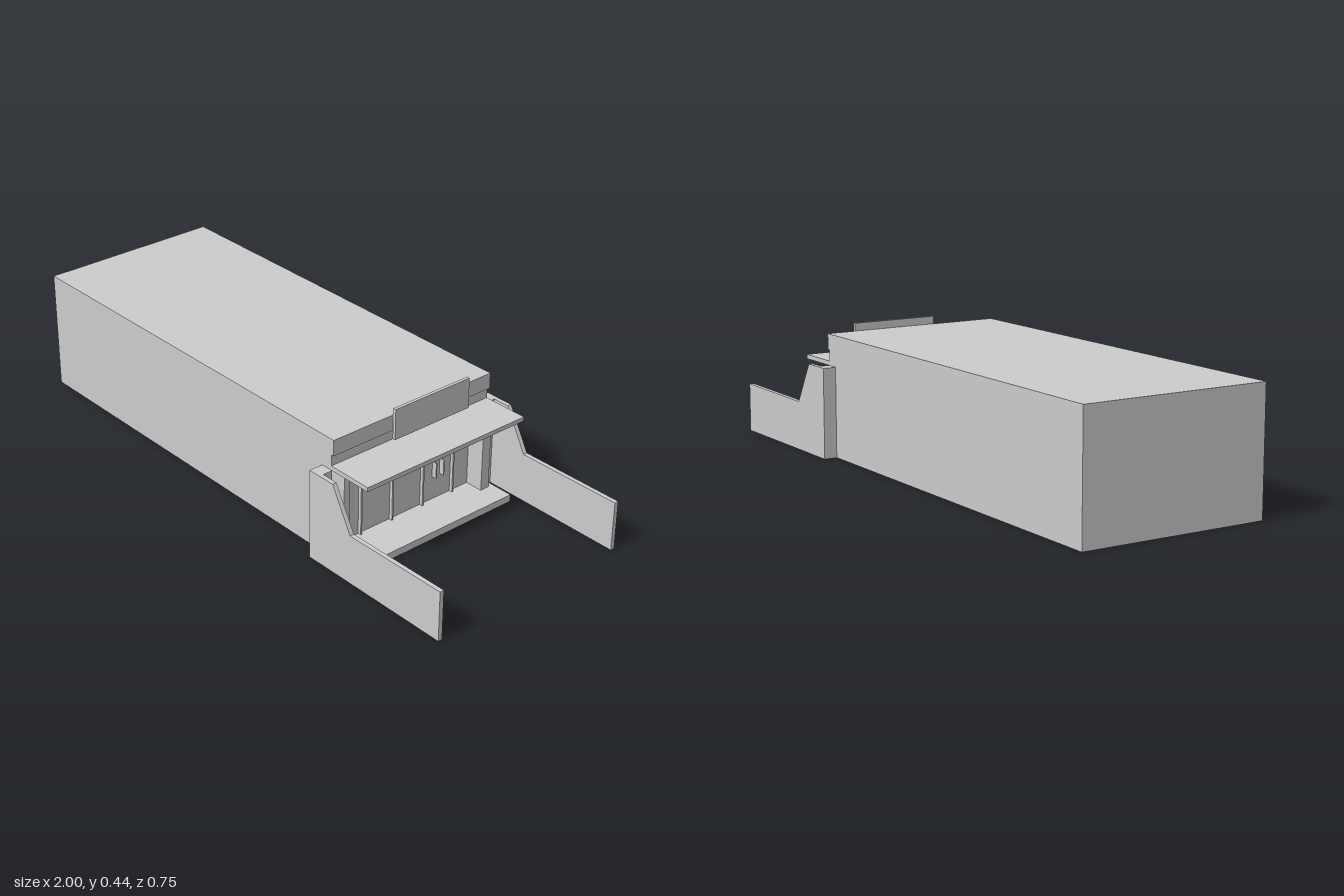
import * as THREE from 'three';

export function createModel() {
  const model = new THREE.Group();
  model.name = 'storeBuilding';
  const material = new THREE.MeshStandardMaterial({ color: 0xcccccc, flatShading: true });

  // Box given by its min and max along each axis
  function block(name, [x0, x1], [y0, y1], [z0, z1]) {
    const mesh = new THREE.Mesh(new THREE.BoxGeometry(x1 - x0, y1 - y0, z1 - z0), material);
    mesh.position.set((x0 + x1) / 2, (y0 + y1) / 2, (z0 + z1) / 2);
    mesh.name = name;
    model.add(mesh);
    return mesh;
  }

  // Main hall, with the stepped fascia above the entrance
  const width = [-0.327, 0.324];
  block('mainHall', [-1, 0.455], [0, 0.417], width);
  block('upperFascia', [0.455, 0.482], [0.363, 0.417], width);
  block('lowerFascia', [0.455, 0.472], [0.31, 0.363], width);

  // Entrance floor, canopy and sign board
  block('entranceFloor', [0.455, 0.6], [0, 0.025], [-0.324, 0.324]);
  block('canopy', [0.472, 0.635], [0.31, 0.325], width);
  block('signBoard', [0.486, 0.497], [0.337, 0.443], [-0.22, 0.09]);
  for (const z of [-0.17, 0.04]) {
    block('signBracket', [0.472, 0.487], [0.385, 0.395], [z - 0.006, z + 0.006]);
  }

  // Glazed shopfront: columns, mullions, transom and door handles
  block('leftColumn', [0.455, 0.52], [0.025, 0.31], [0.292, 0.314]);
  block('rightColumn', [0.455, 0.52], [0.025, 0.31], [-0.304, -0.27]);
  for (const z of [-0.195, -0.065, 0.065, 0.195]) {
    block('mullion', [0.455, 0.467], [0.025, 0.31], [z - 0.003, z + 0.003]);
  }
  block('transom', [0.455, 0.465], [0.239, 0.245], [-0.27, 0.292]);
  for (const z of [-0.115, -0.147]) {
    block('doorHandle', [0.455, 0.473], [0.108, 0.164], [z - 0.002, z + 0.002]);
  }

  // Wing walls with a sloped shoulder, each tied back to the hall
  const outline = new THREE.Shape([
    [0.43, 0], [1, 0], [1, 0.171], [0.615, 0.168], [0.535, 0.31], [0.43, 0.31],
  ].map(([x, y]) => new THREE.Vector2(x, y)));
  const wingGeometry = new THREE.ExtrudeGeometry(outline, { depth: 0.015, bevelEnabled: false });
  for (const side of [1, -1]) {
    const wing = new THREE.Mesh(wingGeometry, material);
    wing.name = side > 0 ? 'leftWingWall' : 'rightWingWall';
    wing.position.z = side > 0 ? 0.358 : -0.373;
    model.add(wing);
    const span = side > 0 ? [0.324, 0.358] : [-0.358, -0.324];
    block(side > 0 ? 'leftReturnWall' : 'rightReturnWall', [0.43, 0.475], [0, 0.31], span);
  }

  return model;
}
